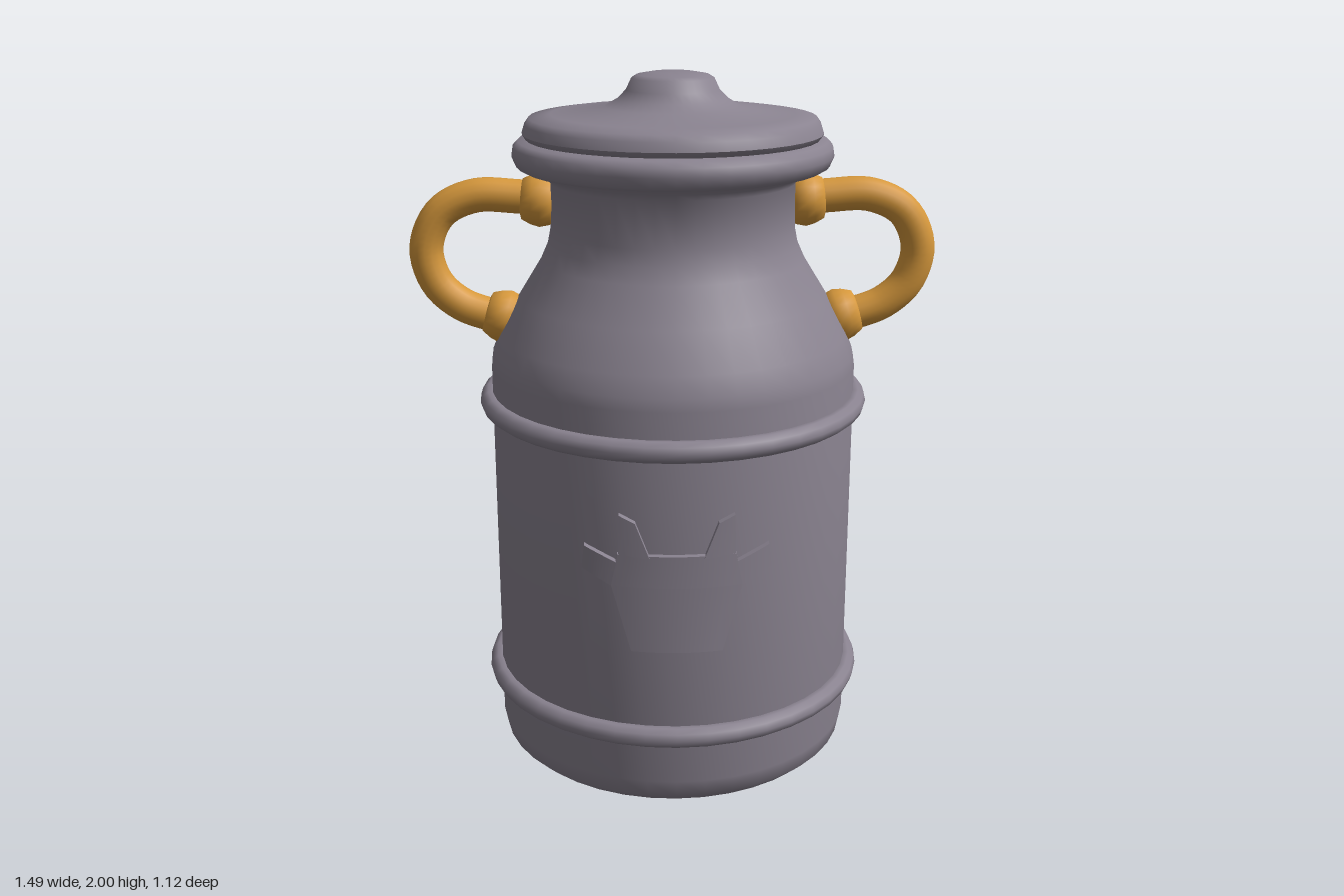
import * as THREE from 'three';
import { toCreasedNormals } from 'three/addons/utils/BufferGeometryUtils.js';

const metal = new THREE.MeshStandardMaterial({ color: 0x8a8390 });
metal.name = 'grey metal';
const brass = new THREE.MeshStandardMaterial({ color: 0xd6983c });
brass.name = 'golden brass';

function part(parent, name, geometry, material) {
  const mesh = new THREE.Mesh(geometry, material);
  mesh.name = name;
  parent.add(mesh);
  return mesh;
}

function lathe(points, segments = 40) {
  const profile = points.map(([r, y]) => new THREE.Vector2(r, y));
  return toCreasedNormals(new THREE.LatheGeometry(profile, segments), 0.85);
}

// Four-cornered plate (bottom left, bottom right, top right, top left) wrapped round the can
function curvedPlate([bl, br, tr, tl], inner = 0.51, outer = 0.541) {
  const g = new THREE.BoxGeometry(1, 1, 1, 10, 2, 1);
  const p = g.attributes.position;
  const mix = THREE.MathUtils.lerp;
  for (let i = 0; i < p.count; i++) {
    const u = p.getX(i) + 0.5, v = p.getY(i) + 0.5;
    const x = mix(mix(bl[0], br[0], u), mix(tl[0], tr[0], u), v);
    const y = mix(mix(bl[1], br[1], u), mix(tl[1], tr[1], u), v);
    const r = p.getZ(i) > 0 ? outer : inner;
    p.setXYZ(i, x, y, Math.sqrt(r * r - x * x));
  }
  g.computeVertexNormals();
  return toCreasedNormals(g, 0.6);
}

const mirrored = ([bl, br, tr, tl]) => [br, bl, tl, tr].map(([x, y]) => [-x, y]);

export function createModel() {
  const model = new THREE.Group();
  model.name = 'milkChurn';

  // Can body with shoulder, neck and flared rim
  part(model, 'body', lathe([
    [0, 0], [0.46, 0], [0.485, 0.012], [0.515, 0.04], [0.525, 0.09],
    [0.525, 1.18], [0.52, 1.215], [0.498, 1.27], [0.44, 1.375], [0.375, 1.48],
    [0.355, 1.525], [0.346, 1.57], [0.345, 1.70], [0.36, 1.718], [0.39, 1.735],
  ]), metal);
  part(model, 'rim', lathe([
    [0.36, 1.735], [0.42, 1.737], [0.438, 1.747], [0.45, 1.775],
    [0.446, 1.8], [0.432, 1.815], [0.38, 1.82],
  ]), metal);

  // Lid with its knob
  part(model, 'lid', lathe([
    [0.38, 1.815], [0.41, 1.82], [0.42, 1.835], [0.412, 1.86], [0.4, 1.877],
    [0.34, 1.886], [0.19, 1.905], [0.155, 1.925], [0.13, 1.95], [0.115, 1.982],
    [0.1, 1.991], [0.06, 1.998], [0, 2],
  ]), metal);

  // Raised hoops
  for (const [name, y] of [['upperHoop', 1.075], ['lowerHoop', 0.237]]) {
    const hoop = part(model, name, new THREE.TorusGeometry(0.53, 0.031, 10, 40), metal);
    hoop.rotation.x = Math.PI / 2;
    hoop.position.y = y;
  }

  // Cow-head emblem: face, ears and horns
  const emblem = new THREE.Group();
  emblem.name = 'cowEmblem';
  model.add(emblem);
  part(emblem, 'lowerFace', curvedPlate([[-0.125, 0.5], [0.125, 0.5], [0.178, 0.69], [-0.178, 0.69]]), metal);
  part(emblem, 'upperFace', curvedPlate([[-0.178, 0.69], [0.178, 0.69], [0.16, 0.782], [-0.16, 0.782]]), metal);
  const ear = [[0.178, 0.69], [0.258, 0.73], [0.25, 0.795], [0.163, 0.76]];
  const horn = [[0.073, 0.775], [0.158, 0.785], [0.155, 0.895], [0.112, 0.875]];
  part(emblem, 'leftEar', curvedPlate(ear, 0.51, 0.545), metal);
  part(emblem, 'rightEar', curvedPlate(mirrored(ear), 0.51, 0.545), metal);
  part(emblem, 'leftHorn', curvedPlate(horn, 0.51, 0.545), metal);
  part(emblem, 'rightHorn', curvedPlate(mirrored(horn), 0.51, 0.545), metal);

  // Looped handles with rounded collars
  const path = new THREE.CatmullRomCurve3([
    [0.33, 1.643], [0.44, 1.655], [0.56, 1.657], [0.655, 1.61], [0.7, 1.51],
    [0.675, 1.41], [0.61, 1.347], [0.53, 1.315], [0.45, 1.297],
  ].map(([x, y]) => new THREE.Vector3(x, y, 0)));
  const collarProfile = [
    [0, -0.045], [0.05, -0.045], [0.07, -0.028], [0.077, 0], [0.071, 0.025], [0.058, 0.052], [0.045, 0.056],
  ];
  const collars = [
    ['upperCollar', 0.372, 1.645, 0.06],
    ['lowerCollar', 0.482, 1.307, 0.3],
  ];
  for (const side of ['left', 'right']) {
    const handle = new THREE.Group();
    handle.name = side + 'Handle';
    part(handle, 'loop', new THREE.TubeGeometry(path, 40, 0.048, 14), brass);
    for (const [name, x, y, tilt] of collars) {
      const collar = part(handle, name, lathe(collarProfile, 20), brass);
      collar.position.set(x, y, 0);
      collar.rotation.z = -Math.PI / 2 + tilt;
    }
    if (side === 'right') handle.rotation.y = Math.PI;
    model.add(handle);
  }
  return model;
}
